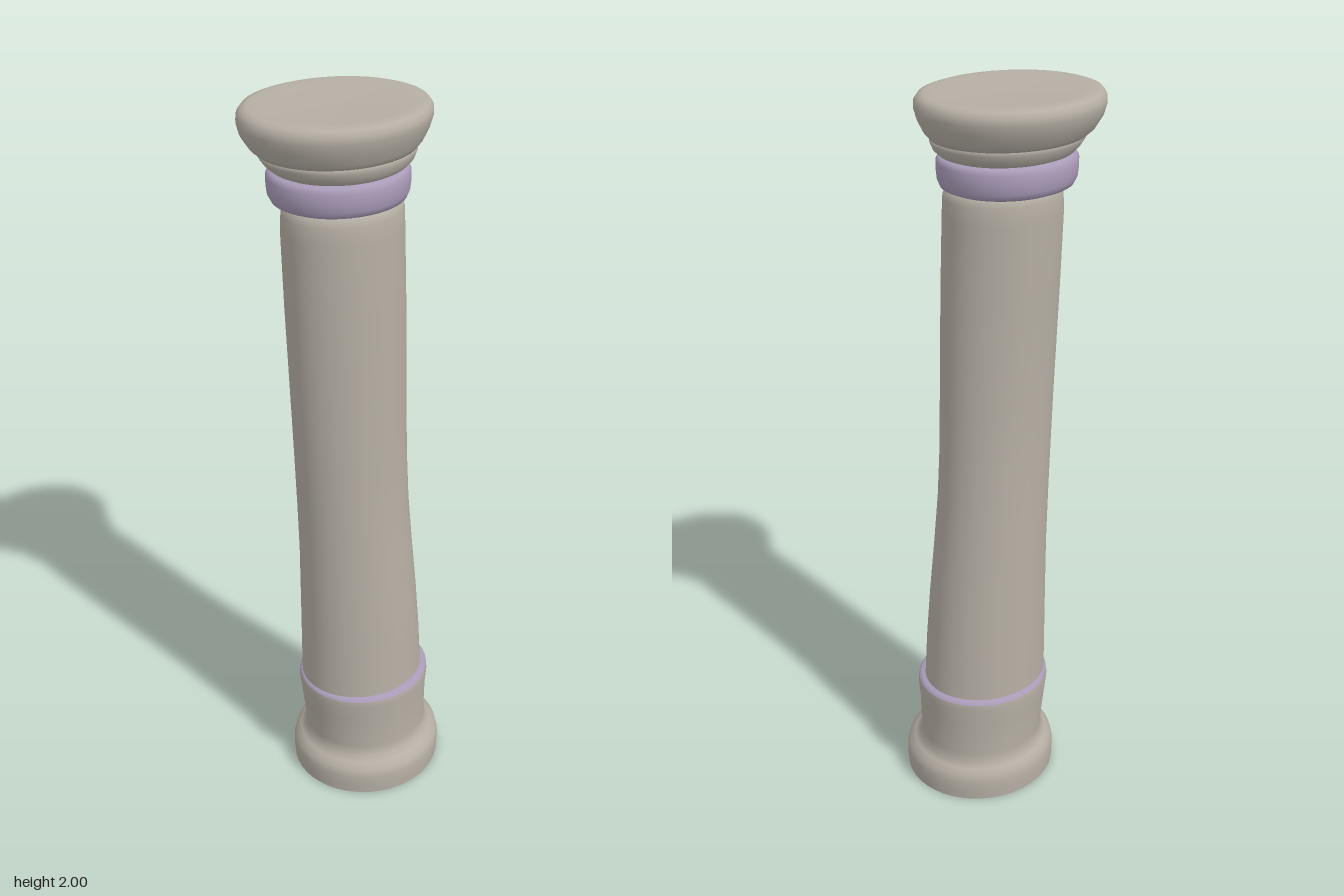
import * as THREE from 'three';

const SEGMENTS = 48;

// Skin through oval sections, each row being [y, minX, maxX, minZ, maxZ].
// Rows running upward give an outer wall; a zero-width row closes the end.
function loft(name, rows, material) {
  const positions = [], indices = [];
  rows.forEach(([y, x0, x1, z0, z1], i) => {
    for (let j = 0; j < SEGMENTS; j++) {
      const t = (j / SEGMENTS) * Math.PI * 2;
      positions.push(
        (x0 + x1) / 2 + ((x1 - x0) / 2) * Math.cos(t),
        y,
        (z0 + z1) / 2 - ((z1 - z0) / 2) * Math.sin(t));
      if (i === rows.length - 1) continue;
      const k = (j + 1) % SEGMENTS;
      const a = i * SEGMENTS + j, b = i * SEGMENTS + k;
      indices.push(a, b, b + SEGMENTS, a, b + SEGMENTS, a + SEGMENTS);
    }
  });
  const geometry = new THREE.BufferGeometry();
  geometry.setAttribute('position', new THREE.Float32BufferAttribute(positions, 3));
  geometry.setIndex(indices);
  geometry.computeVertexNormals();
  const mesh = new THREE.Mesh(geometry, material);
  mesh.name = name;
  return mesh;
}

export function createModel() {
  const stone = new THREE.MeshStandardMaterial({ color: 0xb5aea4 });
  stone.name = 'stone';
  const mauve = new THREE.MeshStandardMaterial({ color: 0xa99bb8 });
  mauve.name = 'mauve';

  const column = new THREE.Group();
  column.name = 'column';
  column.add(
    // Hollow underside
    loft('underside', [
      [0.10, 0.042, 0.042, 0.025, 0.025],
      [0.10, -0.145, 0.23, -0.15, 0.2],
    ], stone),
    loft('baseInnerWall', [
      [0.10, -0.145, 0.23, -0.15, 0.2],
      [0.01, -0.17, 0.253, -0.175, 0.225],
      [0.004, -0.175, 0.258, -0.18, 0.23],
    ], stone),
    // Foot moulding and plinth
    loft('base', [
      [0.004, -0.175, 0.258, -0.18, 0.23],
      [0.03, -0.176, 0.26, -0.181, 0.231],
      [0.06, -0.176, 0.26, -0.181, 0.231],
      [0.085, -0.17, 0.254, -0.176, 0.226],
      [0.098, -0.153, 0.237, -0.163, 0.207],
      [0.11, -0.14, 0.225, -0.153, 0.19],
      [0.14, -0.135, 0.22, -0.149, 0.184],
      [0.25, -0.148, 0.222, -0.153, 0.186],
      [0.30, -0.154, 0.226, -0.157, 0.19],
      [0.317, -0.152, 0.224, -0.155, 0.188],
    ], stone),
    // Coloured ledge on the plinth
    loft('plinthLedge', [
      [0.317, -0.152, 0.224, -0.155, 0.188],
      [0.326, -0.146, 0.217, -0.149, 0.181],
      [0.327, -0.13, 0.195, -0.13, 0.16],
    ], mauve),
    // Leaning, tapering shaft
    loft('shaft', [
      [0.31, -0.146, 0.208, -0.142, 0.171],
      [0.45, -0.146, 0.2, -0.139, 0.166],
      [0.60, -0.146, 0.188, -0.135, 0.159],
      [0.75, -0.146, 0.174, -0.131, 0.15],
      [0.90, -0.15, 0.161, -0.127, 0.143],
      [1.05, -0.156, 0.153, -0.123, 0.139],
      [1.20, -0.162, 0.149, -0.122, 0.138],
      [1.50, -0.172, 0.143, -0.128, 0.135],
      [1.70, -0.175, 0.138, -0.135, 0.131],
      [1.745, -0.172, 0.136, -0.133, 0.128],
      [1.765, -0.163, 0.128, -0.126, 0.12],
      [1.78, -0.14, 0.105, -0.105, 0.1],
    ], stone),
    // Rounded collar
    loft('collar', [
      [1.775, -0.14, 0.105, -0.105, 0.1],
      [1.768, -0.175, 0.132, -0.15, 0.12],
      [1.775, -0.19, 0.147, -0.167, 0.136],
      [1.79, -0.198, 0.153, -0.174, 0.143],
      [1.81, -0.2, 0.155, -0.176, 0.145],
      [1.835, -0.2, 0.155, -0.176, 0.145],
      [1.848, -0.192, 0.148, -0.168, 0.138],
      [1.853, -0.16, 0.115, -0.135, 0.105],
    ], mauve),
    // Small moulding under the capital
    loft('neck', [
      [1.848, -0.175, 0.135, -0.15, 0.12],
      [1.855, -0.19, 0.152, -0.168, 0.132],
      [1.868, -0.205, 0.166, -0.178, 0.142],
      [1.885, -0.217, 0.174, -0.186, 0.147],
      [1.898, -0.218, 0.174, -0.187, 0.147],
      [1.905, -0.2, 0.155, -0.17, 0.13],
    ], stone),
    // Flared capital with a slightly dished top
    loft('capital', [
      [1.89, -0.19, 0.15, -0.165, 0.125],
      [1.896, -0.222, 0.177, -0.192, 0.147],
      [1.91, -0.238, 0.19, -0.206, 0.157],
      [1.94, -0.257, 0.206, -0.222, 0.17],
      [1.965, -0.263, 0.213, -0.23, 0.177],
      [1.982, -0.262, 0.213, -0.229, 0.177],
      [1.995, -0.253, 0.204, -0.22, 0.168],
      [2.0, -0.238, 0.19, -0.206, 0.154],
      [1.998, -0.21, 0.162, -0.18, 0.13],
      [1.993, -0.024, -0.024, -0.026, -0.026],
    ], stone),
  );
  return column;
}
